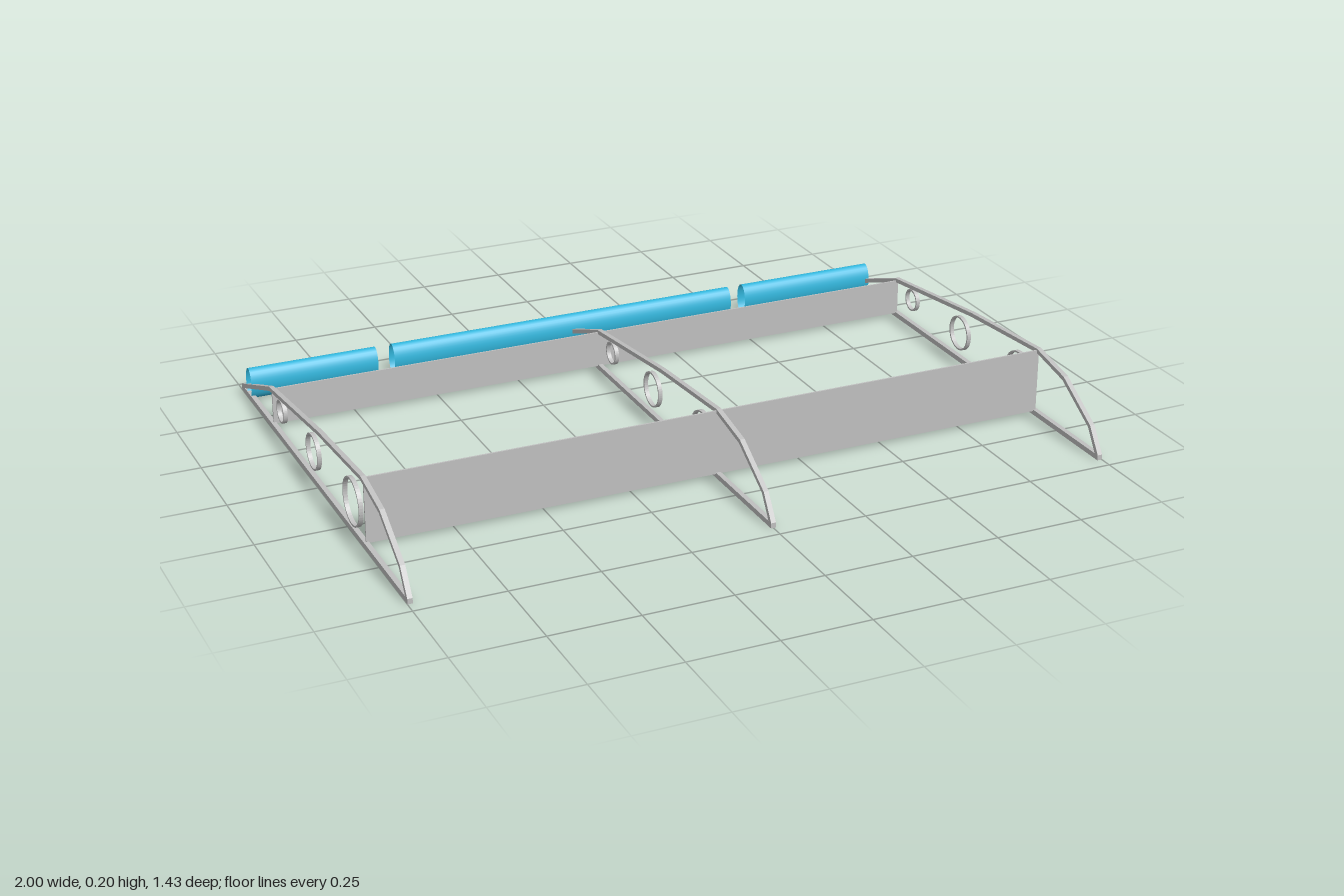
import * as THREE from 'three';

const mat = (name, color, side = THREE.FrontSide) => {
  const m = new THREE.MeshStandardMaterial({ color, side });
  m.name = name;
  return m;
};

// Shapes are drawn in (z, y) and extruded across x, centred on x = 0
function extrudeAcross(shape, width, segments = 24) {
  const g = new THREE.ExtrudeGeometry(shape, { depth: width, bevelEnabled: false, curveSegments: segments });
  g.translate(0, 0, -width / 2);
  g.rotateY(-Math.PI / 2);
  return g;
}

export function createModel() {
  const gray = mat('light gray', 0xc0c0c0);
  const blue = mat('bright blue', 0x32b6dc, THREE.DoubleSide);
  const model = new THREE.Group();
  const add = (parent, name, geometry, material, x = 0, y = 0, z = 0) => {
    const mesh = new THREE.Mesh(geometry, material);
    mesh.name = name;
    mesh.position.set(x, y, z);
    parent.add(mesh);
  };
  const points = (list) => list.map(([z, y]) => new THREE.Vector2(z, y));

  // Rib frame: aerofoil outline with a thin rim
  const frame = new THREE.Shape(points([
    [0.713, 0.003], [0.713, 0.018], [0.667, 0.088], [0.523, 0.176], [0.38, 0.205],
    [0.025, 0.18], [-0.425, 0.127], [-0.713, 0.021], [-0.713, 0.003],
  ]));
  frame.holes.push(new THREE.Path(points([
    [0.697, 0.018], [0.657, 0.08], [0.518, 0.164], [0.379, 0.193],
    [0.025, 0.168], [-0.423, 0.115], [-0.685, 0.018],
  ])));
  const frameGeometry = extrudeAcross(frame, 0.014);

  // Rims of the lightening holes
  const rimGeometries = [[0.285, 0.068], [-0.045, 0.052], [-0.33, 0.034]].map(([z, r]) => {
    const rim = new THREE.Shape().absarc(z, 0.09, r, 0, Math.PI * 2);
    rim.holes.push(new THREE.Path().absarc(z, 0.09, r - 0.005, 0, Math.PI * 2, true));
    return extrudeAcross(rim, 0.012);
  });

  ['rightRib', 'middleRib', 'leftRib'].forEach((name, i) => {
    const rib = new THREE.Group();
    rib.name = name;
    rib.position.x = (i - 1) * 0.993;
    add(rib, 'ribFrame', frameGeometry, gray);
    rimGeometries.forEach((g) => add(rib, 'holeRim', g, gray));
    model.add(rib);
  });

  // Spars: thin upright sheets across the ribs
  add(model, 'frontSpar', new THREE.BoxGeometry(1.986, 0.186, 0.005), gray, 0, 0.107, 0.379);
  add(model, 'rearSpar', new THREE.BoxGeometry(1.986, 0.106, 0.005), gray, 0, 0.067, -0.424);

  // Trailing tubes: open oval shells in three lengths
  [[-0.998, -0.617], [-0.567, 0.519], [0.567, 0.998]].forEach(([from, to]) => {
    const tube = new THREE.CylinderGeometry(1, 1, to - from, 32, 1, true);
    tube.rotateZ(Math.PI / 2);
    tube.scale(1, 0.046, 0.027);
    add(model, 'trailingTube', tube, blue, (from + to) / 2, 0.05, -0.643);
  });

  // Stand on the ground
  model.children.forEach((part) => { part.position.y -= 0.003; });
  return model;
}
